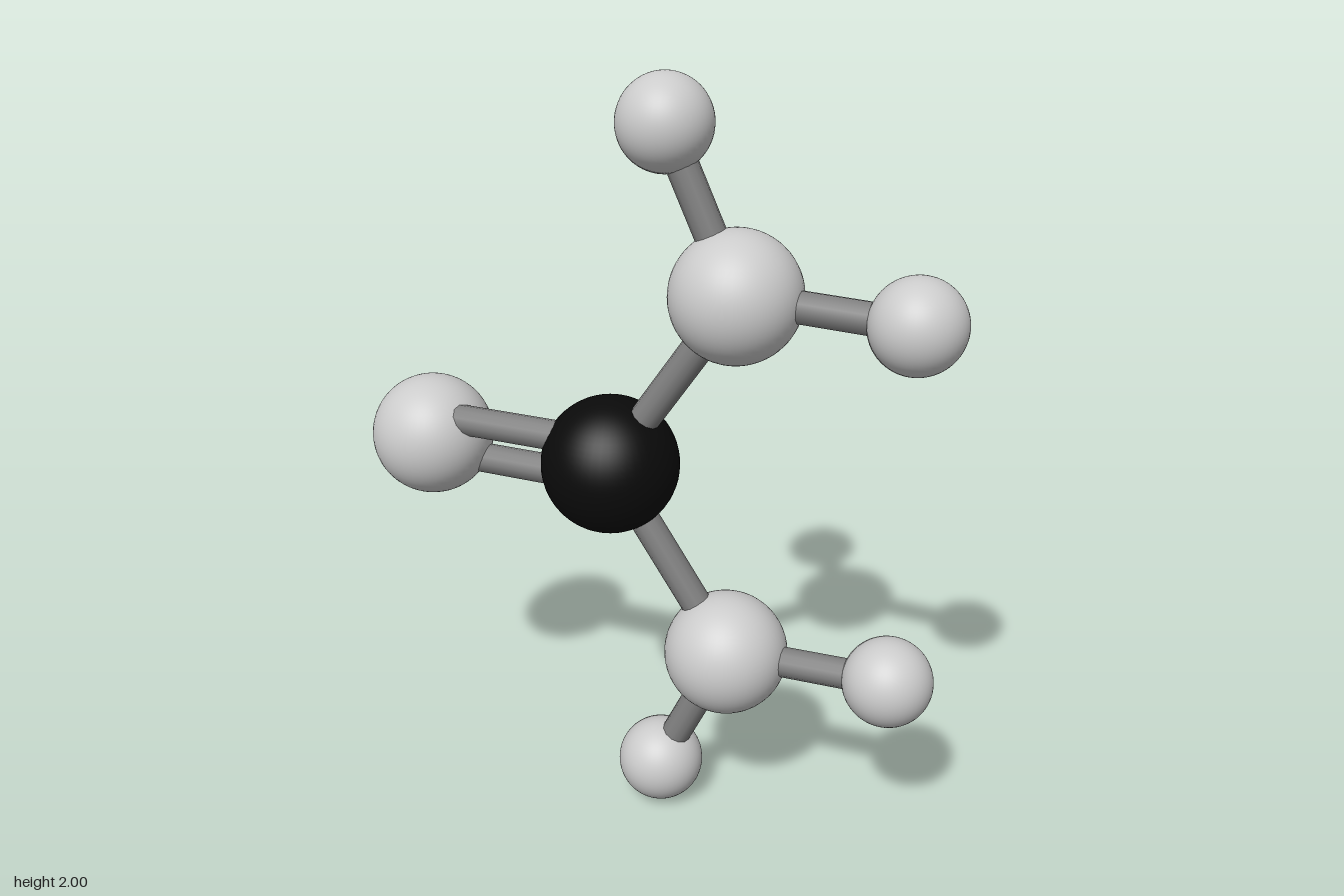
import * as THREE from 'three';

const V = (x, y, z = 0) => new THREE.Vector3(x, y, z);

export function createModel() {
  const group = new THREE.Group();
  const grey = new THREE.MeshStandardMaterial({ color: 0xcccccc });
  const black = new THREE.MeshStandardMaterial({ color: 0x0a0a0a });
  const rodGrey = new THREE.MeshStandardMaterial({ color: 0x808080 });

  function atom(name, pos, radius, material = grey) {
    const mesh = new THREE.Mesh(new THREE.SphereGeometry(radius, 48, 32), material);
    mesh.name = name;
    mesh.position.copy(pos);
    group.add(mesh);
  }

  // Rod running between two points
  function bond(name, a, b) {
    const dir = b.clone().sub(a);
    const mesh = new THREE.Mesh(new THREE.CylinderGeometry(0.04, 0.04, dir.length(), 12), rodGrey);
    mesh.name = name;
    mesh.position.copy(a).lerp(b, 0.5);
    mesh.quaternion.setFromUnitVectors(V(0, 1), dir.normalize());
    group.add(mesh);
  }

  // Centre atom and the side atom joined by a double bond
  const centre = V(-0.1, 1.004);
  const side = V(-0.623, 1.004);
  atom('centreAtom', centre, 0.18, black);
  atom('sideAtom', side, 0.162);
  for (const [name, y, z] of [['doubleBondUpper', 0.073, 0.041], ['doubleBondLower', -0.058, -0.02]]) {
    const offset = V(0, y, z);
    bond(name, side.clone().add(offset), centre.clone().add(offset));
  }

  // Two mirrored branches, each with two small end atoms
  for (const [label, s] of [['upper', 1], ['lower', -1]]) {
    const at = (x, dy) => V(x, 1.004 + s * dy);
    const hub = at(0.228, 0.491);
    const ends = { Tip: at(0.045, 0.884), Outer: at(0.662, 0.476) };
    atom(label + 'BranchAtom', hub, 0.163);
    bond(label + 'BranchBond', centre, hub);
    for (const [key, pos] of Object.entries(ends)) {
      atom(label + key + 'Atom', pos, 0.116);
      bond(label + key + 'Bond', hub, pos);
    }
  }
  return group;
}
